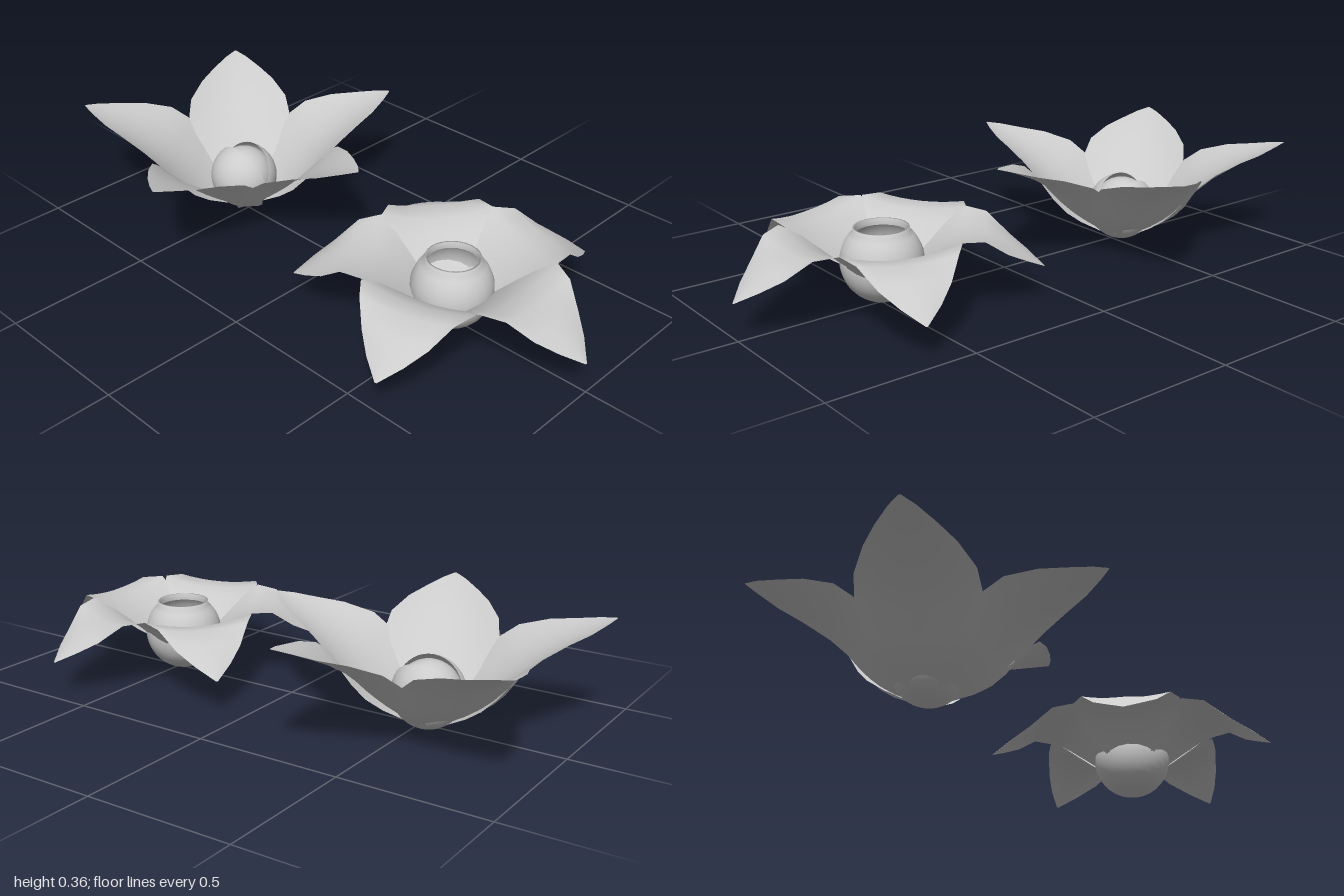
import * as THREE from 'three';

const material = new THREE.MeshStandardMaterial({ color: 0xcccccc, side: THREE.DoubleSide });

// Petal lofted from cross-sections [distance out, height, half width, edge lift]
function petalGeometry(sections, columns = 8) {
  const positions = [];
  const indices = [];
  sections.forEach(([r, y, w, lift], i) => {
    for (let j = 0; j <= columns; j++) {
      const u = (j / columns) * 2 - 1;
      positions.push(r, y + lift * u * u, w * u);
      if (i < sections.length - 1 && j < columns) {
        const a = i * (columns + 1) + j;
        const b = a + columns + 1;
        indices.push(a, a + 1, b, b, a + 1, b + 1);
      }
    }
  });
  const geometry = new THREE.BufferGeometry();
  geometry.setAttribute('position', new THREE.Float32BufferAttribute(positions, 3));
  geometry.setIndex(indices);
  geometry.computeVertexNormals();
  return geometry;
}

function addMesh(parent, name, geometry) {
  const mesh = new THREE.Mesh(geometry, material);
  mesh.name = name;
  parent.add(mesh);
  return mesh;
}

// Five petals around the flower's centre, at slightly uneven angles
function makeFlower(name, sections, degrees) {
  const flower = new THREE.Group();
  flower.name = name;
  const geometry = petalGeometry(sections);
  for (const angle of degrees) {
    addMesh(flower, 'petal', geometry).rotation.y = THREE.MathUtils.degToRad(angle);
  }
  return flower;
}

export function createModel() {
  const model = new THREE.Group();
  model.name = 'flowerPair';

  // Cupped flower with raised petals, overlapping near the base
  const cupped = makeFlower('cuppedFlower', [
    [0.05, 0.025, 0.05, 0],
    [0.10, 0.055, 0.115, 0.015],
    [0.14, 0.085, 0.155, 0.025],
    [0.18, 0.118, 0.175, 0.037],
    [0.25, 0.183, 0.19, 0.058],
    [0.31, 0.233, 0.18, 0.052],
    [0.40, 0.287, 0.136, 0.03],
    [0.475, 0.321, 0.09, 0.012],
    [0.54, 0.348, 0.04, 0.003],
    [0.578, 0.36, 0.003, 0],
  ], [0.8, 65.5, 140.5, 215.5, 290]);
  cupped.position.set(-0.535, 0, -0.01);
  model.add(cupped);

  // Round bud: a shell with a lens-shaped slit on top, around a core
  const slit = 0.75;
  const lean = 0.13;
  const budGeometry = new THREE.SphereGeometry(0.12, 32, 20, 0, Math.PI * 2 - slit);
  budGeometry.rotateZ(Math.PI / 2);
  const bud = addMesh(cupped, 'budShell', budGeometry);
  // Turn the slit to the top, leaning slightly to the back
  bud.rotation.x = Math.PI - slit / 2 - lean;
  bud.position.set(0, 0.121, -0.005);
  const core = addMesh(cupped, 'budCore', new THREE.SphereGeometry(0.106, 32, 20));
  core.position.copy(bud.position);

  // Open flower with drooping petal tips
  const open = makeFlower('openFlower', [
    [0.09, 0.105, 0.06, 0],
    [0.12, 0.133, 0.11, 0.01],
    [0.15, 0.159, 0.142, 0.017],
    [0.20, 0.198, 0.17, 0.025],
    [0.26, 0.226, 0.187, 0.03],
    [0.33, 0.233, 0.154, 0.015],
    [0.40, 0.205, 0.108, -0.015],
    [0.46, 0.162, 0.06, -0.01],
    [0.515, 0.115, 0.003, 0],
  ], [-0.5, 71, 141.5, 212.8, 285.2]);
  open.position.set(0.485, 0, 0.012);
  model.add(open);

  // Hollow round cup with a rim turned inward
  const radius = 0.135;
  const profile = [];
  for (let i = 0; i <= 16; i++) {
    const a = (i / 16) * 2.4;
    profile.push(new THREE.Vector2(radius * Math.sin(a), radius * (1 - Math.cos(a))));
  }
  profile.push(new THREE.Vector2(0.09, 0.247), new THREE.Vector2(0.083, 0.247), new THREE.Vector2(0.083, 0.225));
  addMesh(open, 'seedCup', new THREE.LatheGeometry(profile, 24));

  return model;
}
